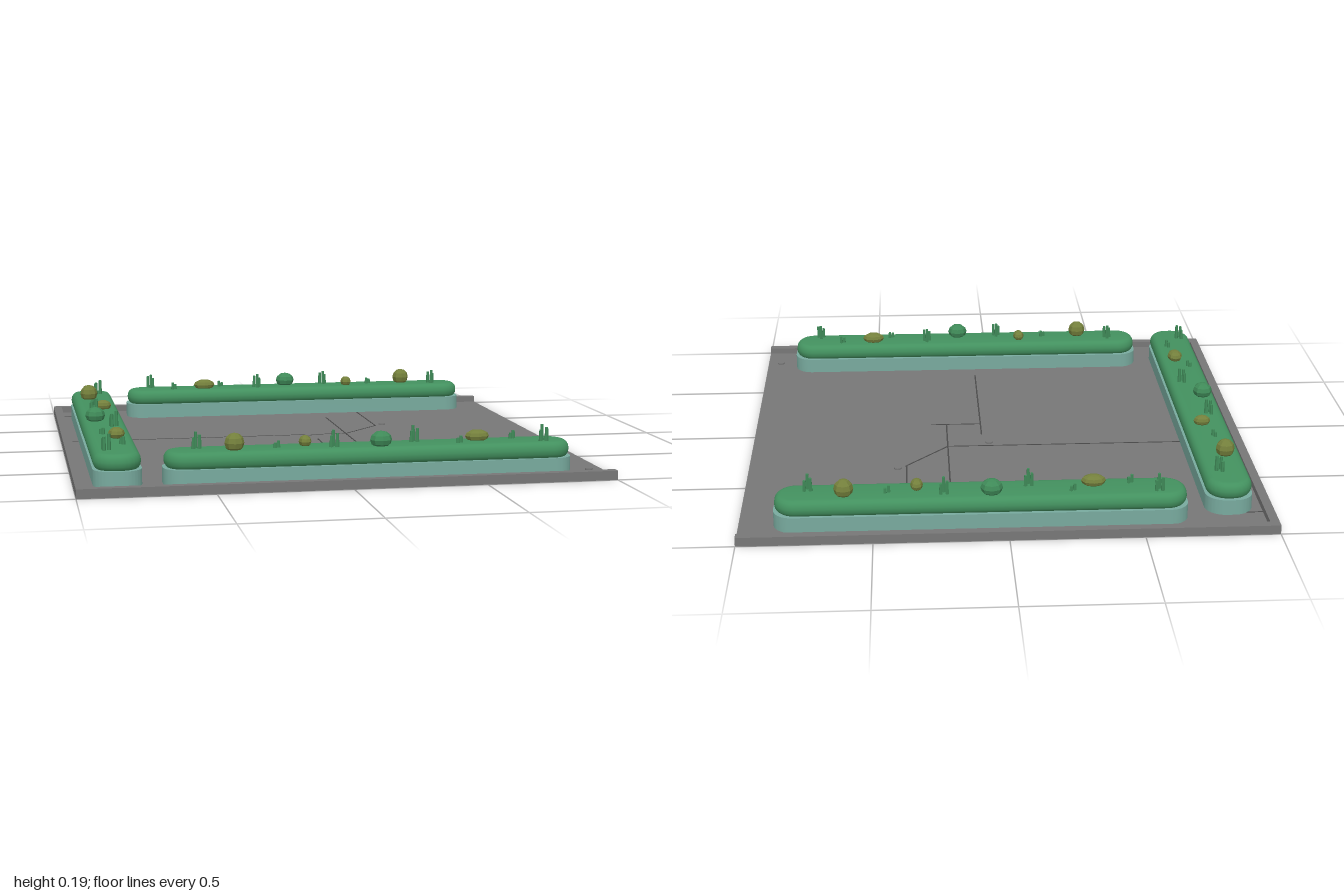
import * as THREE from 'three';
import { toCreasedNormals } from 'three/addons/utils/BufferGeometryUtils.js';

const mat = (name, color, flatShading = false) => {
  const m = new THREE.MeshStandardMaterial({ color, flatShading });
  m.name = name;
  return m;
};

export function createModel() {
  const paving = mat('paving grey', 0x777777);
  const seam = mat('seam grey', 0x4a4a4a);
  const stone = mat('planter teal', 0x78aa9e);
  const hedge = mat('hedge green', 0x43915f);
  const leaf = mat('cactus green', 0x3f8a58, true);
  const olive = mat('olive cactus', 0x74803c, true);

  const root = new THREE.Group();
  root.name = 'plaza';

  function add(parent, name, geo, material, x, y, z) {
    const mesh = new THREE.Mesh(geo, material);
    mesh.name = name;
    mesh.position.set(x, y, z);
    parent.add(mesh);
    return mesh;
  }
  const box = (name, w, h, d, x, y, z, m = paving) =>
    add(root, name, new THREE.BoxGeometry(w, h, d), m, x, y + h / 2, z);

  // Ground slab with curbs on three sides, open at +x
  box('groundSlab', 2, 0.01, 2, 0, 0, 0);
  box('leftCurb', 0.035, 0.025, 2, -0.9825, 0.01, 0);
  for (const s of [1, -1]) box(s > 0 ? 'frontCurb' : 'backCurb', 1.965, 0.025, 0.035, 0.0175, 0.01, s * 0.9825);

  // Paving seams: thin strips between two points
  const seams = [
    [0.205, -0.6, 0.205, 0.075], [0.375, -0.965, 0.375, -0.34], [0.375, -0.34, 0.205, -0.155],
    [-0.965, -0.155, 0.205, -0.155], [0.062, 0.04 - 0.08, 0.062, 0.64], [0.062, 0.075, 0.27, 0.075],
    [-0.965, -0.83, -0.9, -0.83], [0.205, -0.965, 0.205, -0.9], [0.062, 0.94, 0.062, 0.965],
  ];
  for (const [x1, z1, x2, z2] of seams) {
    const len = Math.hypot(x2 - x1, z2 - z1);
    const strip = box('pavingSeam', len, 0.001, 0.006, (x1 + x2) / 2, 0.01, (z1 + z2) / 2, seam);
    strip.rotation.y = -Math.atan2(z2 - z1, x2 - x1);
  }

  // Small ground studs
  for (const [x, z] of [[0.41, -0.365], [0.035, -0.125], [0.945, 0.83]])
    add(root, 'groundStud', new THREE.CylinderGeometry(0.015, 0.015, 0.006, 8), paving, x, 0.013, z);

  // Rounded slab lying flat, with an optional rounded rim
  function roundedSlab(length, width, height, radius, bevel, rim) {
    const a = length / 2 - rim, b = width / 2 - rim, r = radius - rim;
    const s = new THREE.Shape();
    s.moveTo(-a + r, -b);
    s.absarc(a - r, -b + r, r, -Math.PI / 2, 0);
    s.absarc(a - r, b - r, r, 0, Math.PI / 2);
    s.absarc(-a + r, b - r, r, Math.PI / 2, Math.PI);
    s.absarc(-a + r, -b + r, r, Math.PI, Math.PI * 1.5);
    const geo = new THREE.ExtrudeGeometry(s, {
      depth: height - 2 * bevel, bevelEnabled: bevel > 0, bevelThickness: bevel,
      bevelSize: rim, bevelSegments: 4, curveSegments: 8,
    });
    geo.translate(0, 0, bevel).rotateX(-Math.PI / 2);
    return toCreasedNormals(geo, 0.7);
  }

  // Cactus balls: [x, z, radius x, height, radius z, material]
  const balls = [
    [-0.51, 0.022, 0.037, 0.062, 0.037, olive],
    [-0.24, -0.02, 0.024, 0.038, 0.034, olive],
    [0.037, 0.032, 0.042, 0.055, 0.04, leaf],
    [0.42, -0.022, 0.047, 0.04, 0.032, olive],
  ];
  // Stem clusters: [x, z, height]
  const clusters = [
    [-0.645, -0.025, 0.06], [-0.14, 0.027, 0.06], [0.177, -0.03, 0.06], [0.66, 0.037, 0.06],
    [-0.35, 0.01, 0.025], [0.34, 0.027, 0.025], [0.56, -0.032, 0.03],
  ];

  function planter(name, length, x, z, turn) {
    const g = new THREE.Group();
    g.name = name;
    g.position.set(x, 0, z);
    g.rotation.y = turn;
    root.add(g);
    add(g, 'planterBase', roundedSlab(length + 0.01, 0.18, 0.06, 0.075, 0, 0), stone, 0, 0.01, 0);
    add(g, 'hedgeTop', roundedSlab(length, 0.175, 0.065, 0.08, 0.03, 0.026), hedge, 0, 0.065, 0);

    const k = length / 1.535;
    for (const [bx, bz, rx, h, rz, m] of balls) {
      const ball = add(g, 'cactusBall', new THREE.SphereGeometry(1, 8, 6), m, bx * k, 0.13 + h * 0.4, bz);
      ball.scale.set(rx, h * 0.6, rz);
    }
    for (const [cx, cz, h] of clusters) {
      const stems = h > 0.05
        ? [[0, -0.012, 1], [-0.011, 0.009, 0.7], [0.012, 0.007, 0.85]]
        : [[-0.007, 0.004, 0.75], [0.006, -0.004, 1]];
      for (const [dx, dz, f] of stems) {
        const sh = h * f;
        add(g, 'cactusStem', new THREE.CylinderGeometry(0.006, 0.008, sh + 0.01, 6), leaf,
          cx * k + dx, 0.125 + sh / 2, cz + dz);
      }
    }
  }

  planter('frontPlanter', 1.535, 0.097, 0.805, 0);
  planter('backPlanter', 1.535, 0.097, -0.83, Math.PI);
  planter('sidePlanter', 1.72, -0.84, 0.015, -Math.PI / 2);

  return root;
}
